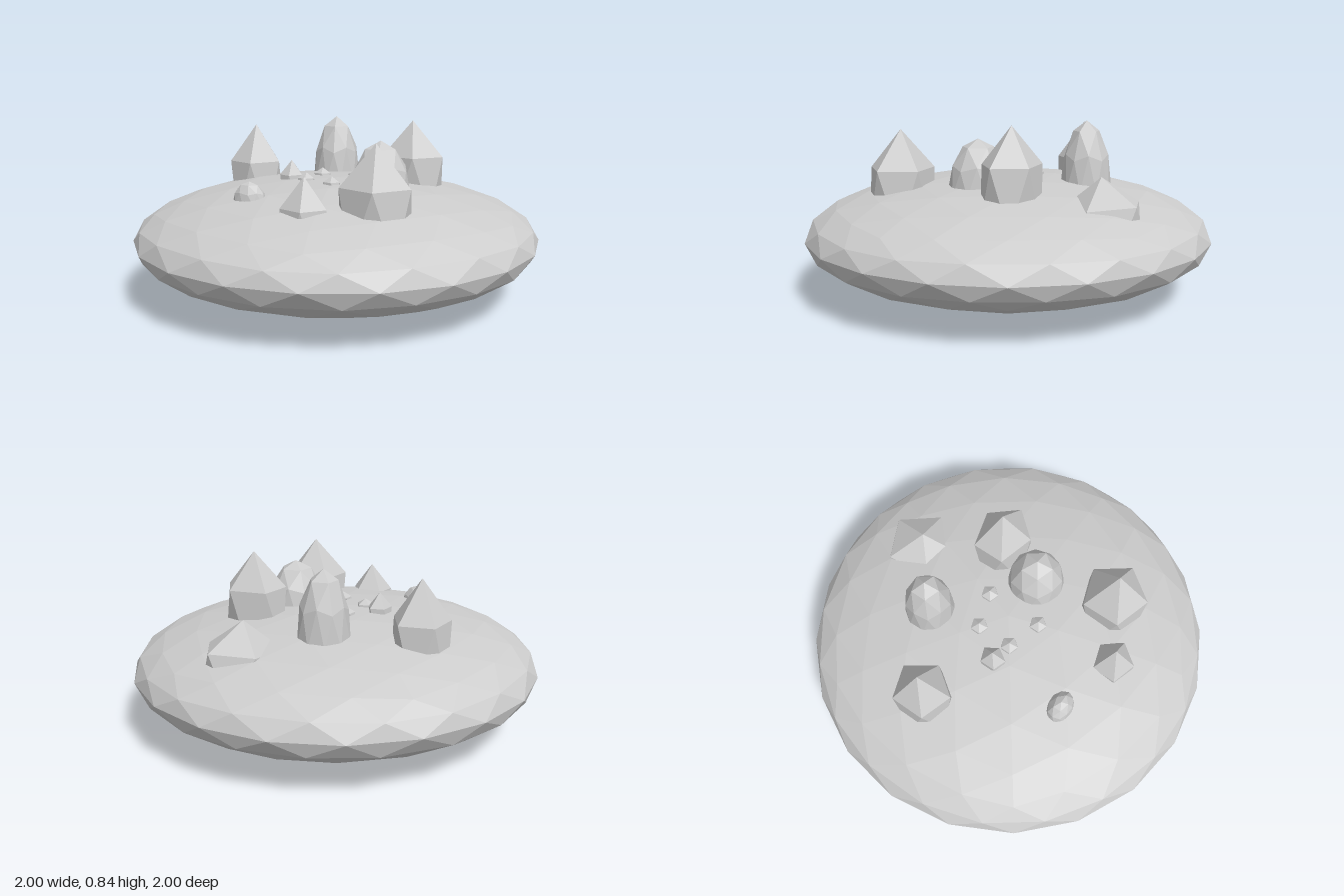
import * as THREE from 'three';

// Faceted ball with a vertex straight up, stretched to the given half sizes
function facetedBall(detail, sx, sy, sz) {
  const geo = new THREE.IcosahedronGeometry(1, detail);
  geo.rotateZ(-Math.atan(2 / (1 + Math.sqrt(5))));
  geo.scale(sx, sy, sz);
  geo.computeVertexNormals();
  return geo;
}

export function createModel() {
  const group = new THREE.Group();
  const stone = new THREE.MeshStandardMaterial({ color: 0xcccccc, flatShading: true });
  stone.name = 'stoneGrey';

  function add(name, detail, [x, y, z], [sx, sy, sz], [rx, ry] = [0, 0]) {
    const mesh = new THREE.Mesh(facetedBall(detail, sx, sy, sz), stone);
    mesh.name = name;
    mesh.position.set(x, y, z);
    mesh.rotation.set(rx, ry, 0);
    group.add(mesh);
  }

  // Flattened island
  add('ground', 3, [0, 0.284, 0], [1, 0.284, 1]);

  // Pointed rocks: centre, half sizes, tilt and turn
  const pointed = [
    [[-0.54, 0.45, -0.12], [0.155, 0.35, 0.16]],
    [[0.31, 0.525, -0.245], [0.18, 0.32, 0.153]],
    [[0.375, 0.456, 0.37], [0.185, 0.344, 0.182]],
    [[0.11, 0.41, 0.535], [0.122, 0.25, 0.117]],
    [[0.1, 0.385, -0.61], [0.2, 0.235, 0.21], [0.1, 0.1]],
    [[-0.22, 0.52, 0.06], [0.065, 0.13, 0.072]],
  ];
  for (const [at, size, turn] of pointed) add('pointedRock', 0, at, size, turn);

  // Rounded rocks
  add('tallRoundRock', 1, [-0.17, 0.5, -0.35], [0.127, 0.34, 0.127]);
  add('roundRock', 1, [0.24, 0.505, 0], [0.147, 0.26, 0.147]);
  add('lowRoundRock', 1, [-0.223, 0.5, 0.45], [0.084, 0.1, 0.062]);

  // Ring of pebbles around the middle
  for (let i = 1; i < 5; i++) {
    const a = (i * 2 * Math.PI) / 5;
    add('pebble', 0, [0.15 * Math.cos(a), 0.55, 0.15 * Math.sin(a)], [0.048, 0.048, 0.048]);
  }
  return group;
}
